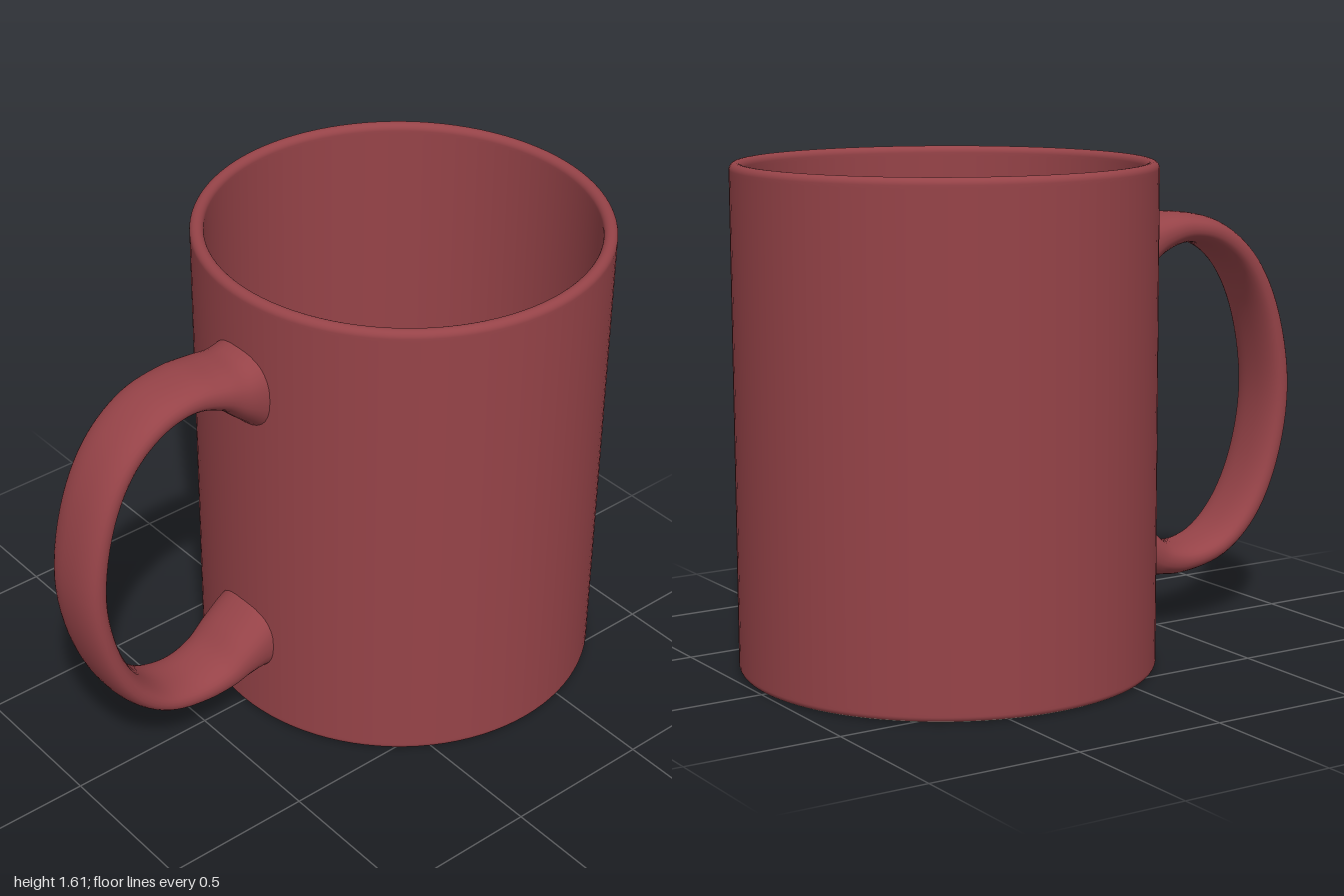
import * as THREE from 'three';

const glaze = new THREE.MeshStandardMaterial({ color: 0x964348 });
glaze.name = 'redGlaze';
const clay = new THREE.MeshStandardMaterial({ color: 0xc4beb4 });
clay.name = 'bareClay';

const CENTRE_X = 0.33, R = 0.667, H = 1.61;

// Profile points along an arc, angles in degrees
function arc(cx, cy, r, from, to, n = 6) {
  return Array.from({ length: n + 1 }, (_, i) => {
    const a = THREE.MathUtils.degToRad(from + (to - from) * i / n);
    return [cx + r * Math.cos(a), cy + r * Math.sin(a)];
  });
}

function lathe(name, profile, material) {
  const points = profile.map(([x, y]) => new THREE.Vector2(x, y));
  const mesh = new THREE.Mesh(new THREE.LatheGeometry(points, 96), material);
  mesh.name = name;
  mesh.position.x = CENTRE_X;
  return mesh;
}

// Handle swept between an outer and an inner curve, with an oval cross-section
function makeHandle() {
  // outer x, outer y, inner x, inner y
  const stations = [
    [-0.305, 1.43, -0.305, 1.12], [-0.34, 1.41, -0.34, 1.155],
    [-0.38, 1.397, -0.39, 1.2], [-0.45, 1.4, -0.465, 1.265],
    [-0.55, 1.405, -0.575, 1.3], [-0.7, 1.375, -0.675, 1.28],
    [-0.84, 1.27, -0.775, 1.205], [-0.943, 1.09, -0.858, 1.055],
    [-1.0, 0.8, -0.905, 0.79], [-0.957, 0.53, -0.868, 0.555],
    [-0.86, 0.335, -0.79, 0.395], [-0.72, 0.22, -0.7, 0.308],
    [-0.55, 0.18, -0.6, 0.28], [-0.45, 0.187, -0.5, 0.302],
    [-0.39, 0.197, -0.42, 0.37], [-0.34, 0.195, -0.34, 0.435],
    [-0.305, 0.185, -0.305, 0.46],
  ];
  const curve = (k) => new THREE.CatmullRomCurve3(
    stations.map((s) => new THREE.Vector3(s[k], s[k + 1], 0)));
  const outer = curve(0), inner = curve(2);
  const steps = 96, sides = 32, positions = [], indices = [];
  const squash = (v) => Math.sign(v) * Math.abs(v) ** 0.85;

  for (let i = 0; i <= steps; i++) {
    const o = outer.getPoint(i / steps), n = inner.getPoint(i / steps);
    const mid = o.clone().add(n).multiplyScalar(0.5);
    const half = o.clone().sub(n).multiplyScalar(0.5);
    // widen towards the wall
    const flare = THREE.MathUtils.smoothstep(mid.x, -0.6, -0.31);
    const width = 0.115 + 0.022 * flare;
    for (let j = 0; j < sides; j++) {
      const a = j / sides * Math.PI * 2;
      const c = squash(Math.cos(a)), s = squash(Math.sin(a));
      positions.push(mid.x + half.x * c, mid.y + half.y * c, 0.01 + width * s);
      if (i < steps) {
        const p = i * sides + j, q = i * sides + (j + 1) % sides;
        indices.push(p, p + sides, q, q, p + sides, q + sides);
      }
    }
  }
  const geometry = new THREE.BufferGeometry();
  geometry.setAttribute('position', new THREE.Float32BufferAttribute(positions, 3));
  geometry.setIndex(indices);
  geometry.computeVertexNormals();
  const mesh = new THREE.Mesh(geometry, glaze);
  mesh.name = 'handle';
  return mesh;
}

export function createModel() {
  const mug = new THREE.Group();
  mug.name = 'mug';

  // Outer wall, rounded rim, inner wall and floor
  const wall = 0.044, rim = wall / 2, inside = R - wall, floor = 0.07;
  mug.add(lathe('body', [
    ...arc(R - 0.02, 0.02, 0.02, -45, 0, 4), [R, 0.03],
    [R, H - rim - 0.01],
    ...arc(R - rim, H - rim, rim, 0, 180, 14),
    [inside, H - rim - 0.01],
    [inside, floor + 0.06],
    ...arc(inside - 0.05, floor + 0.05, 0.05, 0, -90, 8),
    [inside - 0.06, floor], [0, floor],
  ], glaze));

  // Unglazed ring the mug stands on
  mug.add(lathe('footRing', [
    [0.607, 0.012], ...arc(0.619, 0.012, 0.012, 180, 270, 4),
    [0.63, 0], ...arc(R - 0.02, 0.02, 0.02, -90, -45, 4),
  ], clay));

  // Recessed underside
  mug.add(lathe('underside', [
    [0, 0.03], [0.575, 0.03], [0.585, 0.03],
    ...arc(0.587, 0.01, 0.02, 90, 0, 5),
  ], glaze));

  mug.add(makeHandle());
  return mug;
}
